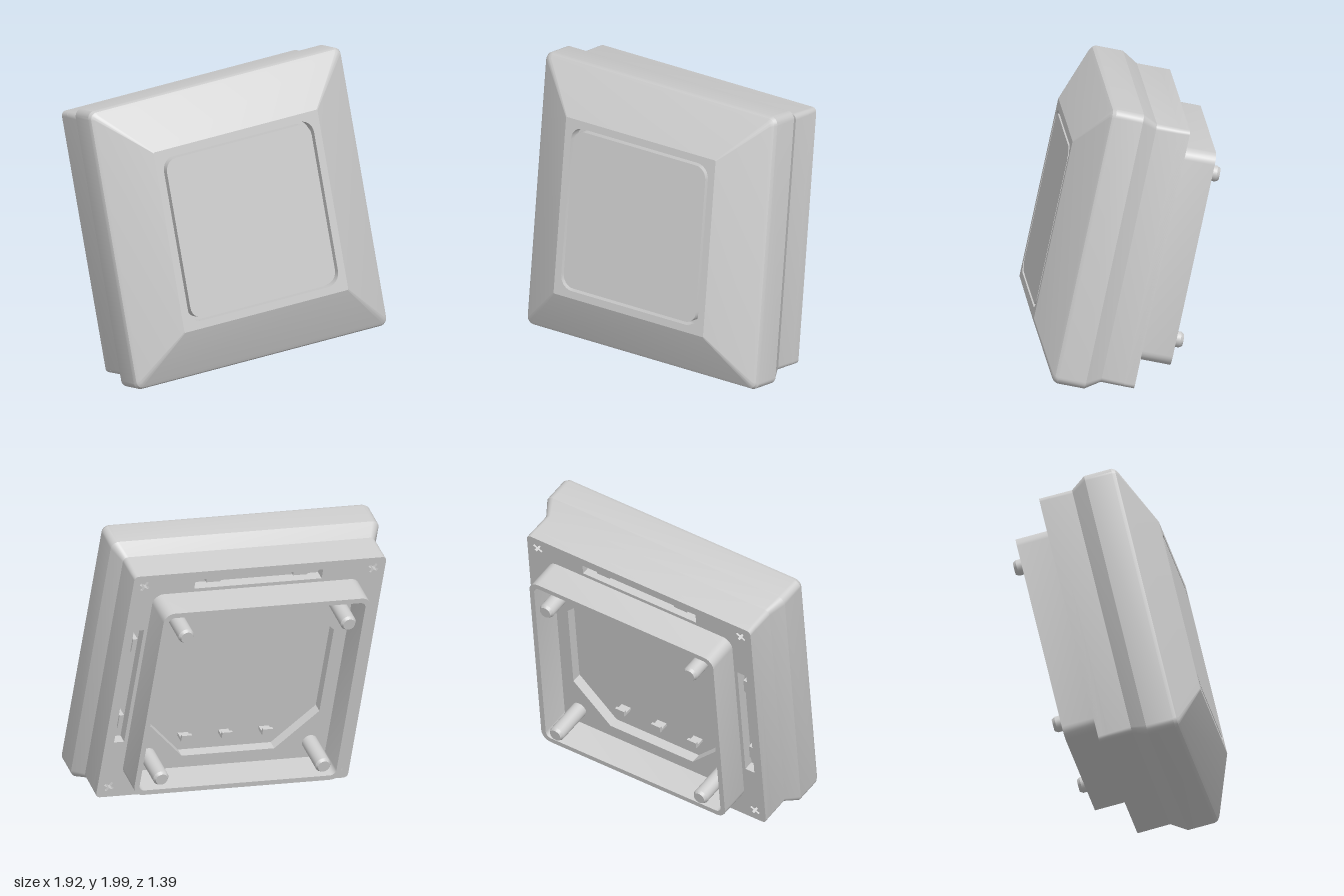
import * as THREE from 'three';
import { toCreasedNormals } from 'three/addons/utils/BufferGeometryUtils.js';

const material = new THREE.MeshStandardMaterial({ color: 0xcccccc, side: THREE.DoubleSide });

function add(parent, name, geometry, x = 0, y = 0, z = 0) {
  const mesh = new THREE.Mesh(geometry, material);
  mesh.name = name;
  mesh.position.set(x, y, z);
  parent.add(mesh);
  return mesh;
}

// Corner points of a rounded square, counter-clockwise
function roundedSquare(half, r, segments = 6) {
  const points = [];
  for (let c = 0; c < 4; c++) {
    const mid = Math.PI / 4 + c * Math.PI / 2;
    const cx = Math.sign(Math.cos(mid)) * (half - r);
    const cy = Math.sign(Math.sin(mid)) * (half - r);
    for (let i = 0; i <= segments; i++) {
      const a = c * Math.PI / 2 + (i / segments) * Math.PI / 2;
      points.push(new THREE.Vector2(cx + r * Math.cos(a), cy + r * Math.sin(a)));
    }
  }
  return points;
}

function extrude(outline, holes, z0, z1) {
  const shape = new THREE.Shape(outline);
  for (const h of holes) shape.holes.push(new THREE.Path(h));
  const g = new THREE.ExtrudeGeometry(shape, { depth: z1 - z0, bevelEnabled: false });
  g.translate(0, 0, z0);
  return toCreasedNormals(g, 0.5);
}

// Skin through rounded squares: [half size, corner radius, z], front to back
function loft(sections) {
  const rings = sections.map(([h, r, z]) => roundedSquare(h, r).map(p => [p.x, p.y, z]));
  const n = rings[0].length, positions = [];
  for (let i = 0; i + 1 < rings.length; i++) {
    for (let j = 0; j < n; j++) {
      const k = (j + 1) % n;
      const a = rings[i][j], b = rings[i][k], c = rings[i + 1][j], d = rings[i + 1][k];
      positions.push(...a, ...c, ...b, ...b, ...c, ...d);
    }
  }
  const g = new THREE.BufferGeometry();
  g.setAttribute('position', new THREE.Float32BufferAttribute(positions, 3));
  return toCreasedNormals(g, 0.45);
}

const rect = (x0, x1, y0, y1) =>
  [[x0, y0], [x1, y0], [x1, y1], [x0, y1]].map(p => new THREE.Vector2(...p));

// Cross-shaped screw recess
function cross(cx, cy, arm, half) {
  const points = [];
  for (let q = 0; q < 4; q++) {
    for (const [x, y] of [[arm, -half], [arm, half], [half, half]]) {
      points.push(new THREE.Vector2(x, y).rotateAround(new THREE.Vector2(), q * Math.PI / 2 + 0.5)
        .add(new THREE.Vector2(cx, cy)));
    }
  }
  return points;
}

export function createModel() {
  const model = new THREE.Group();
  const unit = new THREE.Group();
  unit.name = 'displayUnit';
  model.add(unit);

  // Outer housing: sloped bezel, straight rim, chamfer, straight base
  add(unit, 'housing', loft([
    [0.6, 0.006, 0], [0.895, 0.03, -0.163], [0.915, 0.045, -0.178], [0.925, 0.05, -0.2],
    [0.925, 0.05, -0.38], [0.87, 0.035, -0.48], [0.87, 0.03, -0.7],
  ]));

  // Front border and the glass, separated by a narrow groove
  add(unit, 'frontBorder', extrude(roundedSquare(0.6, 0.006), [roundedSquare(0.55, 0.09)], -0.07, 0));
  add(unit, 'grooveFloor', extrude(roundedSquare(0.58, 0.05), [], -0.1, -0.07));
  add(unit, 'glass', extrude(roundedSquare(0.53, 0.08), [], -0.07, 0));

  // Back plate with octagonal opening, edge slots and screw recesses
  const w = 0.59, cut = 0.32;
  const octagon = [[w, -cut], [w, cut], [cut, w], [-cut, w], [-w, cut], [-w, -cut], [-cut, -w], [cut, -w]]
    .map(p => new THREE.Vector2(...p));
  const slots = [
    rect(-0.44, 0.44, 0.74, 0.81), rect(-0.44, 0.44, -0.81, -0.74),
    rect(0.74, 0.81, -0.44, 0.44), rect(-0.81, -0.74, -0.44, 0.44),
  ];
  const recesses = [];
  for (const sx of [-1, 1]) for (const sy of [-1, 1]) recesses.push(cross(sx * 0.79, sy * 0.79, 0.036, 0.009));
  add(unit, 'backPlate', extrude(roundedSquare(0.87, 0.03), [octagon, ...slots, ...recesses], -0.7, -0.63));
  add(unit, 'innerPanel', extrude(roundedSquare(0.86, 0.03), [], -0.57, -0.55));

  // Clips inside the edge slots
  for (let q = 0; q < 4; q++) {
    const side = new THREE.Group();
    side.name = 'slotClips';
    side.rotation.z = q * Math.PI / 2;
    for (const x of [-0.3, 0.3]) add(side, 'clip', new THREE.BoxGeometry(0.1, 0.03, 0.1), x, 0.775, -0.62);
    unit.add(side);
  }

  // Hooks along the top and bottom of the inner panel
  for (const sy of [-1, 1]) {
    for (const x of [-0.28, 0, 0.28]) {
      add(unit, 'hookStem', new THREE.BoxGeometry(0.07, 0.02, 0.07), x, sy * 0.51, -0.6);
      add(unit, 'hookTip', new THREE.BoxGeometry(0.07, 0.045, 0.02), x, sy * 0.497, -0.635);
    }
  }

  // Rear wall frame
  add(unit, 'rearFrame', extrude(roundedSquare(0.715, 0.07), [roundedSquare(0.68, 0.04)], -0.92, -0.69));

  // Four mounting pins with chamfered tips
  const profile = [[0.052, 0], [0.052, 0.265], [0.04, 0.285], [0, 0.285]].map(p => new THREE.Vector2(...p));
  const pin = toCreasedNormals(new THREE.LatheGeometry(profile, 24), 0.5).rotateX(-Math.PI / 2);
  for (const sx of [-1, 1]) for (const sy of [-1, 1]) add(unit, 'mountingPin', pin, sx * 0.56, sy * 0.56, -0.695);

  // Tilt the whole unit: right, up and facing directions
  const right = new THREE.Vector3(0.985, 0.076, 0.155).normalize();
  const facing = right.clone().cross(new THREE.Vector3(-0.039, 0.974, -0.224)).normalize();
  const up = facing.clone().cross(right);
  unit.applyMatrix4(new THREE.Matrix4().makeBasis(right, up, facing).setPosition(-0.05, 1.07, 0.47));
  return model;
}
